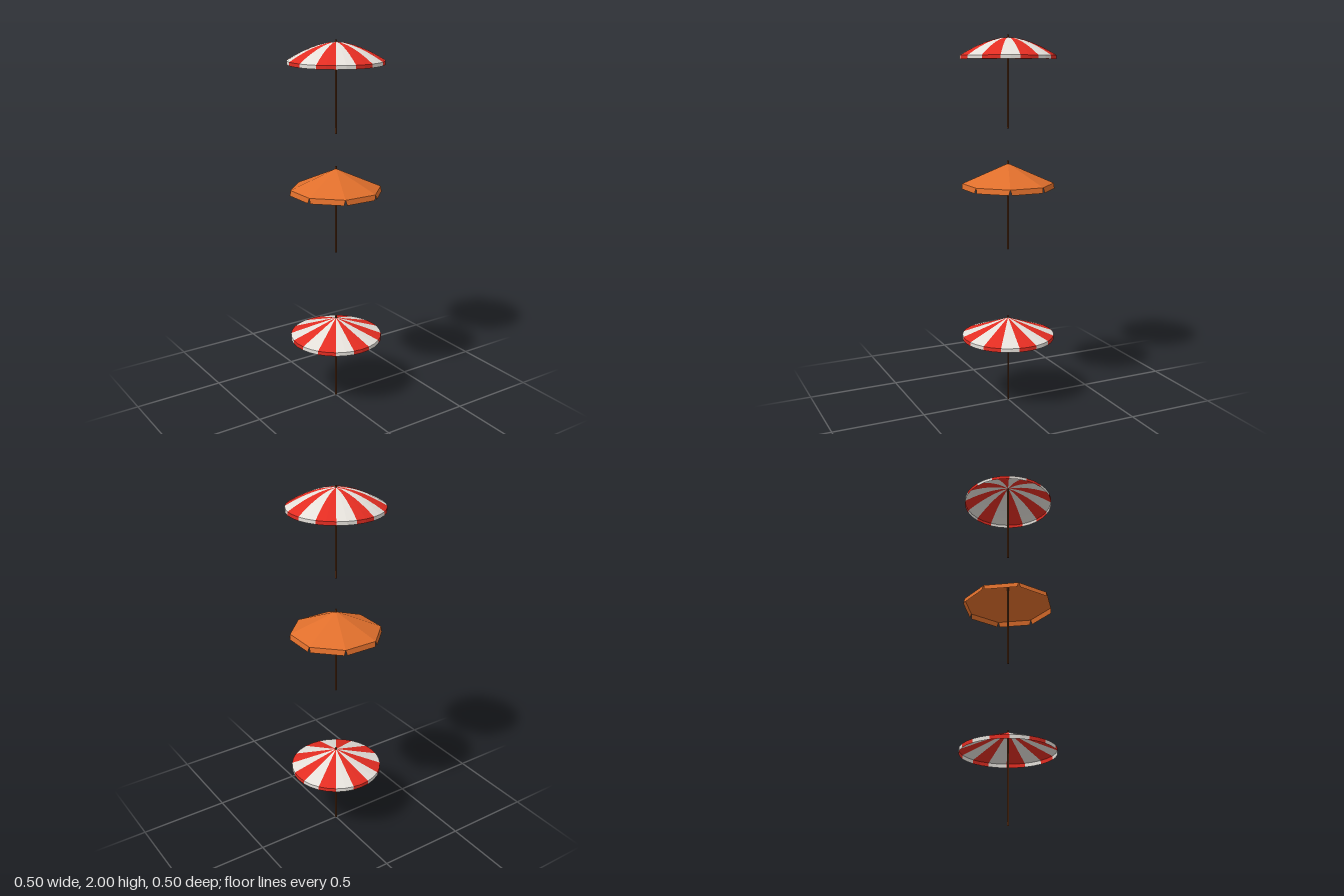
import * as THREE from 'three';

const paint = (color) =>
  new THREE.MeshStandardMaterial({ color, flatShading: true, side: THREE.DoubleSide });
const red = paint(0xe32d22), white = paint(0xe4e0da), orange = paint(0xe06f2c);
const wood = new THREE.MeshStandardMaterial({ color: 0x6b3a1c });

function add(group, name, geometry, material) {
  const mesh = new THREE.Mesh(geometry, material);
  mesh.name = name;
  group.add(mesh);
  return mesh;
}

function addPole(group, height) {
  add(group, 'pole', new THREE.CylinderGeometry(0.005, 0.005, height, 8), wood)
    .position.y = height / 2;
}

// Round canopy of 16 striped gores; bulge 1 gives a cone, more gives a dome
function stripedUmbrella(name, height, apex, rim, hem, bulge) {
  const group = new THREE.Group();
  group.name = name;
  addPole(group, height);
  const radius = 0.252, rings = bulge > 1 ? 6 : 1;
  const profile = [new THREE.Vector2(radius, hem)];
  for (let i = rings; i >= 0; i--) {
    const t = i / rings;
    profile.push(new THREE.Vector2(radius * t, apex - (apex - rim) * t ** bulge));
  }
  const step = Math.PI / 8;
  for (let i = 0; i < 16; i++) {
    const gore = new THREE.LatheGeometry(profile, 2, (i - 0.5) * step, step);
    add(group, i % 2 ? 'whiteGore' : 'redGore', gore, i % 2 ? white : red);
  }
  return group;
}

// Eight-sided canopy with a separate hanging flap on every side
function octagonUmbrella(name, height, apex, rim, hem) {
  const group = new THREE.Group();
  group.name = name;
  addPole(group, height);
  const apothem = 0.226, half = apothem * Math.tan(Math.PI / 8);
  const profile = [
    new THREE.Vector2(apothem / Math.cos(Math.PI / 8), rim),
    new THREE.Vector2(0, apex),
  ];
  add(group, 'canopy', new THREE.LatheGeometry(profile, 8, Math.PI / 8), orange);

  // Trapezoid flap, slightly flared and narrower at the hem
  const flap = new THREE.BufferGeometry();
  flap.setAttribute('position', new THREE.Float32BufferAttribute([
    -half, rim, apothem, half, rim, apothem,
    half - 0.006, hem, 0.232, 0.006 - half, hem, 0.232,
  ], 3));
  flap.setIndex([0, 3, 2, 0, 2, 1]);
  flap.computeVertexNormals();
  for (let i = 0; i < 8; i++) {
    add(group, 'flap', flap, orange).rotation.y = i * Math.PI / 4;
  }
  return group;
}

export function createModel() {
  const model = new THREE.Group();
  model.name = 'parasols';
  const cone = stripedUmbrella('conicalParasol', 0.49, 0.48, 0.386, 0.365, 1);
  const octagon = octagonUmbrella('octagonalParasol', 0.482, 0.468, 0.361, 0.333);
  const dome = stripedUmbrella('domedParasol', 0.482, 0.471, 0.379, 0.36, 1.7);
  octagon.position.y = 0.865;
  dome.position.y = 1.518;
  model.add(cone, octagon, dome);
  return model;
}
